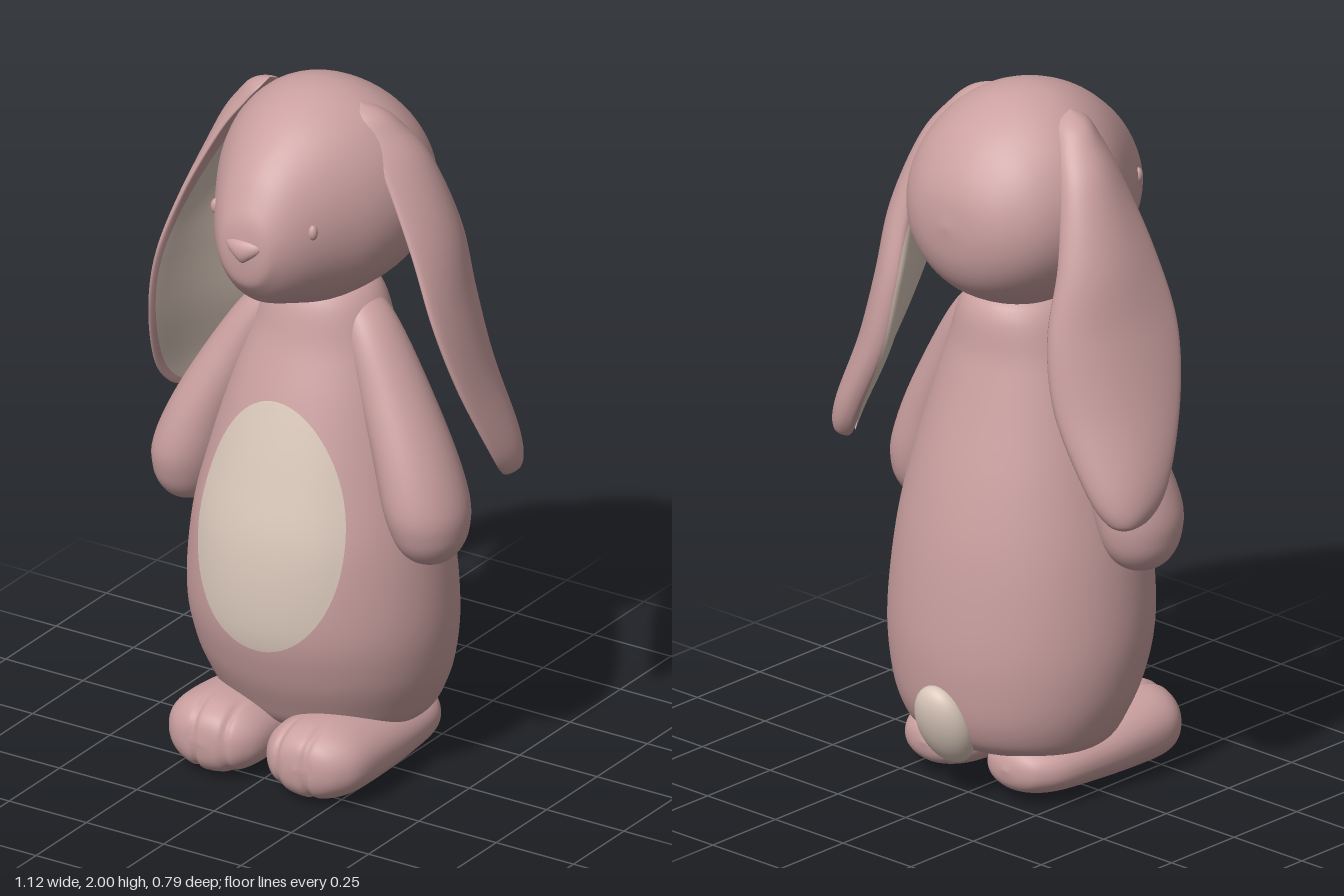
import * as THREE from 'three';
import { mergeVertices } from 'three/addons/utils/BufferGeometryUtils.js';

const { sin, cos, sqrt, exp, PI } = Math;
const MID = 0.015; // the body sits slightly off the ear midline

// Smoothly interpolates rows of numbers, t in 0..1
function sample(rows, t) {
  const f = t * (rows.length - 1);
  const i = Math.min(Math.floor(f), rows.length - 2);
  const k = f - i;
  const at = (n) => rows[Math.max(0, Math.min(rows.length - 1, n))];
  return rows[0].map((_, c) => {
    const [a, b, d, e] = [at(i - 1)[c], at(i)[c], at(i + 1)[c], at(i + 2)[c]];
    return b + 0.5 * k * (d - a + k * (2 * a - 5 * b + 4 * d - e + k * (3 * (b - d) + e - a)));
  });
}

// Smooth surface through fn(u, v) -> [x, y, z]
function surface(fn, nu, nv) {
  const pos = [], index = [];
  for (let i = 0; i <= nu; i++) {
    for (let j = 0; j <= nv; j++) {
      pos.push(...fn(i / nu, j / nv));
      if (i < nu && j < nv) {
        const a = i * (nv + 1) + j, b = a + nv + 1;
        index.push(a, b, a + 1, a + 1, b, b + 1);
      }
    }
  }
  let g = new THREE.BufferGeometry();
  g.setAttribute('position', new THREE.Float32BufferAttribute(pos, 3));
  g.setIndex(index);
  g = mergeVertices(g, 1e-5);
  g.computeVertexNormals();
  return g;
}

function mirrored(geometry) {
  const g = geometry.clone();
  g.scale(-1, 1, 1);
  const ix = g.index.array;
  for (let i = 0; i < ix.length; i += 3) [ix[i], ix[i + 1]] = [ix[i + 1], ix[i]];
  g.computeVertexNormals();
  return g;
}

// y, half width, front z, back z
const BODY = [
  [0.11, 0, -0.03, -0.03], [0.12, 0.2, 0.12, -0.2], [0.15, 0.29, 0.19, -0.29],
  [0.22, 0.335, 0.235, -0.335], [0.33, 0.37, 0.285, -0.355], [0.48, 0.383, 0.32, -0.36],
  [0.7, 0.362, 0.312, -0.34], [0.9, 0.318, 0.265, -0.3], [1.1, 0.262, 0.205, -0.245],
  [1.25, 0.21, 0.15, -0.205], [1.4, 0.145, 0.1, -0.17], [1.46, 0, -0.03, -0.03],
];
// z, half width, top y, bottom y
const HEAD = [
  [0.387, 0, 1.635, 1.635], [0.378, 0.065, 1.71, 1.55], [0.355, 0.1, 1.765, 1.508],
  [0.3, 0.145, 1.847, 1.455], [0.2, 0.207, 1.932, 1.415], [0.1, 0.26, 1.982, 1.385],
  [0, 0.29, 2.0, 1.38], [-0.1, 0.29, 1.982, 1.39], [-0.2, 0.253, 1.923, 1.43],
  [-0.27, 0.19, 1.845, 1.485], [-0.31, 0.11, 1.765, 1.565], [-0.325, 0, 1.67, 1.67],
];
// y, centre x, centre z, half width, half depth
const ARM = [
  [0.675, 0.39, 0.04, 0, 0], [0.687, 0.39, 0.04, 0.047, 0.055], [0.718, 0.388, 0.04, 0.08, 0.094],
  [0.77, 0.384, 0.04, 0.102, 0.121], [0.85, 0.37, 0.04, 0.113, 0.135], [0.98, 0.325, 0.03, 0.108, 0.126],
  [1.15, 0.245, 0.01, 0.094, 0.105], [1.3, 0.168, -0.01, 0.072, 0.084], [1.37, 0.125, -0.025, 0.045, 0.055],
  [1.4, 0.1, -0.03, 0, 0],
];
// z, centre x, half width, bottom y, top y
const FOOT = [
  [0.36, 0.155, 0, 0.11, 0.11], [0.35, 0.155, 0.07, 0.055, 0.165], [0.32, 0.157, 0.118, 0.02, 0.198],
  [0.26, 0.16, 0.15, 0.003, 0.218], [0.15, 0.161, 0.156, 0.003, 0.215], [0, 0.16, 0.15, 0.01, 0.195],
  [-0.14, 0.156, 0.135, 0.018, 0.178], [-0.21, 0.153, 0.102, 0.033, 0.163], [-0.24, 0.15, 0.062, 0.058, 0.14],
  [-0.252, 0.15, 0, 0.1, 0.1],
];
// y, front edge x and z, back edge x and z, half thickness
const EAR = [
  [0.885, 0.51, -0.18, 0.51, -0.18, 0], [0.91, 0.54, -0.11, 0.48, -0.22, 0.025],
  [1.0, 0.545, -0.04, 0.43, -0.25, 0.037], [1.2, 0.505, 0.05, 0.33, -0.262, 0.043],
  [1.4, 0.45, 0.097, 0.293, -0.247, 0.044], [1.6, 0.372, 0.088, 0.292, -0.2, 0.043],
  [1.8, 0.267, 0.066, 0.25, -0.14, 0.038], [1.9, 0.195, 0.053, 0.195, -0.088, 0.033],
  [1.945, 0.16, 0.04, 0.163, -0.05, 0.025], [1.967, 0.145, 0, 0.145, 0, 0],
];

function earPoint(t, a, lift) {
  const [y, fx, fz, bx, bz, th] = sample(EAR, t);
  const dx = fx - bx, dz = fz - bz, len = Math.hypot(dx, dz) || 1, s = sin(a);
  // plump, rounded back edge, with an outward bow that hollows the inner side
  const plump = th * (1 - 0.45 * cos(a)) * Math.sign(s) * Math.abs(s) ** 0.8;
  const n = (plump + lift * s - 0.75 * th * s * s) / len;
  return [(fx + bx + dx * cos(a)) / 2 - dz * n, y, (fz + bz + dz * cos(a)) / 2 + dx * n];
}

function footPoint(u, v) {
  const [z, cx, w, y0, y1] = sample(FOOT, u);
  const a = v * 2 * PI, x = w * cos(a), s = sin(a);
  const h = (y1 - y0) / 2 * Math.sign(s) * Math.abs(s) ** 0.9;
  // two grooves part the toes
  const front = THREE.MathUtils.smoothstep(z, 0.2, 0.3);
  const groove = front * [-0.07, 0.025].reduce((m, g) => m + exp(-(((x - g) / 0.01) ** 2)), 0);
  return [cx + x, (y0 + y1) / 2 + h * (1 - 0.06 * groove), z - 0.008 * groove];
}

function bodyAt(y) {
  let lo = 0, hi = 1;
  for (let i = 0; i < 25; i++) {
    const m = (lo + hi) / 2;
    if (sample(BODY, m)[0] < y) lo = m; else hi = m;
  }
  return sample(BODY, lo);
}

function bellyPoint(u, v) {
  const k = -cos(PI * u); // -1 bottom, 1 top
  const half = 0.233 * sqrt(Math.max(0, 1 - k * k)) * (1 - 0.1 * k);
  const y = 0.765 + 0.35 * k, x = half * (1 - 2 * v);
  const [, w, zf, zb] = bodyAt(y);
  return [x, y, (zf + zb) / 2 + (zf - zb) / 2 * sqrt(1 - (x / w) ** 2) + 0.008];
}

export function createModel() {
  const model = new THREE.Group();
  model.name = 'plushRabbit';
  const pink = new THREE.MeshStandardMaterial({ color: 0xcba0a0 });
  pink.name = 'dustyPink';
  const cream = new THREE.MeshStandardMaterial({ color: 0xd9c7ba, side: THREE.DoubleSide });
  cream.name = 'cream';

  const add = (name, geometry, material, x = MID, y = 0, z = 0) => {
    const mesh = new THREE.Mesh(geometry, material);
    mesh.name = name;
    mesh.position.set(x, y, z);
    model.add(mesh);
    return mesh;
  };
  const addPair = (name, geometry, material, x = MID) => {
    add('left' + name, geometry, material, x);
    add('right' + name, mirrored(geometry), material, x);
  };

  // Body and belly patch
  add('body', surface((u, v) => {
    const [y, w, zf, zb] = sample(BODY, u), a = v * 2 * PI;
    return [w * cos(a), y, (zf + zb) / 2 + (zf - zb) / 2 * sin(a)];
  }, 66, 64), pink);
  add('bellyPatch', surface(bellyPoint, 40, 24), cream);

  // Head tapering to the snout
  add('head', surface((u, v) => {
    const [z, w, y1, y0] = sample(HEAD, u), a = v * 2 * PI;
    return [w * cos(a), (y0 + y1) / 2 + (y1 - y0) / 2 * sin(a), z];
  }, 66, 64), pink);

  // Nose, wide at the top and pointed below
  const nose = new THREE.SphereGeometry(1, 24, 16);
  const p = nose.attributes.position;
  for (let i = 0; i < p.count; i++) p.setX(i, p.getX(i) * (0.75 + 0.55 * p.getY(i)));
  nose.scale(0.064, 0.037, 0.026);
  nose.computeVertexNormals();
  add('nose', nose, pink, MID, 1.635, 0.373);

  // Eyes
  const eye = new THREE.SphereGeometry(1, 16, 12).scale(0.014, 0.022, 0.014);
  for (const s of [1, -1]) add(s > 0 ? 'leftEye' : 'rightEye', eye, pink, MID + s * 0.157, 1.69, 0.274);

  // Arms and feet
  addPair('Arm', surface((u, v) => {
    const [y, cx, cz, w, d] = sample(ARM, u), a = v * 2 * PI;
    return [cx + w * cos(a), y, cz + d * sin(a)];
  }, 54, 40), pink);
  addPair('Foot', surface(footPoint, 54, 120), pink);

  // Drooping ears with cream linings
  addPair('Ear', surface((u, v) => earPoint(u, v * 2 * PI, 0), 72, 56), pink, 0);
  addPair('EarLining', surface((u, v) => {
    const reach = 0.41 * PI * sin(PI * u) ** 0.4;
    return earPoint(0.1 + 0.58 * u, 0.54 * PI + reach * (2 * v - 1), 0.006);
  }, 40, 28), cream, 0);

  // Tail
  const tail = add('tail', new THREE.SphereGeometry(1, 32, 24).scale(0.09, 0.128, 0.06), cream, 0.02, 0.217, -0.321);
  tail.rotation.x = -0.4;

  return model;
}
